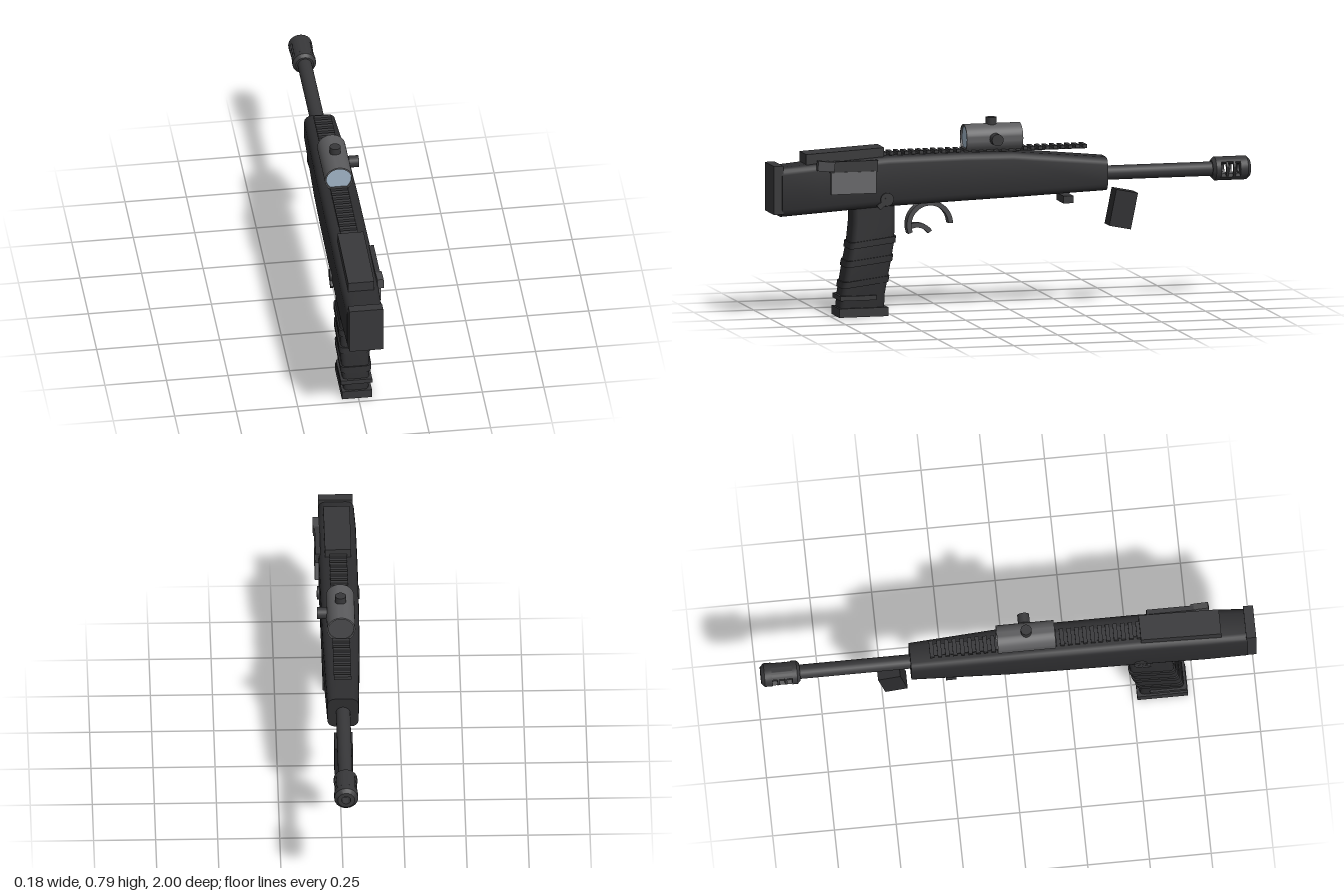
import * as THREE from 'three';
import { toCreasedNormals } from 'three/addons/utils/BufferGeometryUtils.js';

const mat = (color, side = THREE.FrontSide) => new THREE.MeshStandardMaterial({ color, side });
const BLACK = mat(0x2d2d2f), DARK = mat(0x38383a), STEEL = mat(0x4a4a4c);
const TUBE = mat(0x5c5c5e, THREE.DoubleSide), PORT = mat(0x666668), GLASS = mat(0x9fb2c4);

// Rounded rectangle outline, counterclockwise, centred on (cx, cy)
function roundRect(cx, cy, hw, hh, r, n = 4) {
  const pts = [];
  [[1, 1], [-1, 1], [-1, -1], [1, -1]].forEach(([sx, sy], q) => {
    for (let i = 0; i <= n; i++) {
      const a = (q + i / n) * Math.PI / 2;
      pts.push([cx + sx * (hw - r) + r * Math.cos(a), cy + sy * (hh - r) + r * Math.sin(a)]);
    }
  });
  return pts;
}

// Closed skin through rings of [x, y, z] points
function loft(rings) {
  const n = rings[0].length, pos = [];
  const tri = (a, b, c) => pos.push(...a, ...b, ...c);
  for (let k = 0; k < rings.length - 1; k++) {
    const A = rings[k], B = rings[k + 1];
    for (let i = 0; i < n; i++) {
      const j = (i + 1) % n;
      tri(A[i], A[j], B[j]);
      tri(A[i], B[j], B[i]);
    }
  }
  const first = rings[0], last = rings[rings.length - 1];
  for (let i = 1; i < n - 1; i++) {
    tri(first[0], first[i + 1], first[i]);
    tri(last[0], last[i], last[i + 1]);
  }
  const g = new THREE.BufferGeometry();
  g.setAttribute('position', new THREE.Float32BufferAttribute(pos, 3));
  return toCreasedNormals(g, 0.6);
}

// Annular sector outline
function arcShape(cx, cy, R, r, a0, a1) {
  const s = new THREE.Shape();
  s.absarc(cx, cy, R, a0, a1, false);
  s.absarc(cx, cy, r, a1, a0, true);
  s.closePath();
  return s;
}

export function createModel() {
  const root = new THREE.Group();
  root.name = 'rifle';
  const gun = new THREE.Group();
  gun.name = 'rifleParts';
  gun.position.x = -0.007;
  root.add(gun);

  const add = (name, geo, m, x = 0, y = 0, z = 0, parent = gun) => {
    const mesh = new THREE.Mesh(geo, m);
    mesh.name = name;
    mesh.position.set(x, y, z);
    parent.add(mesh);
    return mesh;
  };
  const box = (name, m, w, h, d, x, y, z) => add(name, new THREE.BoxGeometry(w, h, d), m, x, y, z);
  const cyl = (name, m, r, len, axis, x, y, z, n = 24) => {
    const g = new THREE.CylinderGeometry(r, r, len, n);
    if (axis === 'z') g.rotateX(Math.PI / 2);
    if (axis === 'x') g.rotateZ(Math.PI / 2);
    return add(name, g, m, x, y, z);
  };
  // Side outline (first coordinate is -z) given a width across x
  const sideCut = (name, shape, width, m, x = 0) => {
    const g = new THREE.ExtrudeGeometry(shape, { depth: width, bevelEnabled: false, curveSegments: 24 });
    g.translate(0, 0, -width / 2).rotateY(Math.PI / 2);
    return add(name, toCreasedNormals(g, 0.6), m, x);
  };

  // Body: [z, bottom, top, half width]
  const body = [[-0.395, 0.475, 0.61, 0.063], [0, 0.462, 0.648, 0.075], [0.2, 0.456, 0.652, 0.077],
    [0.52, 0.445, 0.65, 0.078], [0.8, 0.428, 0.632, 0.077], [0.965, 0.417, 0.618, 0.072]];
  add('body', loft(body.map(([z, b, t, hw]) =>
    roundRect(0, (b + t) / 2, hw, (t - b) / 2, 0.03).map(([x, y]) => [x, y, z]))), BLACK);
  box('buttPlate', DARK, 0.138, 0.197, 0.04, 0.002, 0.529, 0.98);

  // Raised cover at the rear
  sideCut('rearCover', new THREE.Shape([[-0.86, 0.61], [-0.535, 0.635], [-0.535, 0.685], [-0.86, 0.668]]
    .map(p => new THREE.Vector2(...p))), 0.106, DARK);

  // Bolt and port on the left side
  box('portCover', PORT, 0.022, 0.09, 0.187, 0.082, 0.551, 0.672);
  box('boltPlate', DARK, 0.02, 0.045, 0.2, 0.08, 0.617, 0.67);
  const catchArm = box('boltCatch', STEEL, 0.026, 0.04, 0.07, 0.084, 0.622, 0.787);
  catchArm.rotation.x = -0.1;

  // Selector pin with a small lever on each end
  cyl('selectorPin', DARK, 0.027, 0.17, 'x', 0, 0.477, 0.53);
  for (const s of [-1, 1]) {
    const lever = box('selectorLever', DARK, 0.012, 0.022, 0.055, s * 0.08, 0.462, 0.545);
    lever.rotation.x = 0.7;
  }

  // Barrel
  cyl('barrel', DARK, 0.029, 0.5, 'z', 0, 0.541, -0.62);

  // Muzzle brake: two bored collars joined by slotted shells
  const brake = new THREE.Group();
  brake.name = 'muzzleBrake';
  brake.position.set(0, 0.541, 0);
  gun.add(brake);
  const collar = (name, z0, z1, bevel0, bevel1) => {
    const p = [[0.018, z0], [0.048 - bevel0, z0], [0.048, z0 + bevel0], [0.048, z1 - bevel1],
      [0.048 - bevel1, z1], [0.018, z1], [0.018, z0]].map(q => new THREE.Vector2(...q));
    const g = new THREE.LatheGeometry(p, 28).rotateX(Math.PI / 2);
    add(name, toCreasedNormals(g, 0.5), DARK, 0, 0, 0, brake);
  };
  collar('rearCollar', -0.875, -0.842, 0, 0.012);
  collar('frontCollar', -1, -0.955, 0.014, 0);
  const ringPart = (name, R, r, a0, a1, z, len) => add(name, toCreasedNormals(
    new THREE.ExtrudeGeometry(arcShape(0, 0, R, r, a0, a1),
      { depth: len, bevelEnabled: false, curveSegments: 14 }), 0.5), DARK, 0, 0, z, brake);
  for (const s of [0, Math.PI]) {
    ringPart('brakeShell', 0.048, 0.03, s + 0.7, s + Math.PI - 0.7, -0.957, 0.084);
    for (const z of [-0.935, -0.905])
      ringPart('brakeRib', 0.046, 0.03, s - 0.75, s + 0.75, z, 0.009);
  }

  // Sight rail
  box('railBase', DARK, 0.05, 0.006, 0.845, 0, 0.65, 0.108);
  for (let z = -0.308; z < 0.53; z += 0.031)
    box('railTooth', DARK, 0.07, 0.014, 0.017, 0, 0.657, z);

  // Optic: tube, lenses and two adjusting knobs
  const tube = [[0.051, -0.117], [0.057, -0.117], [0.057, 0.117], [0.051, 0.117], [0.051, -0.117]]
    .map(p => new THREE.Vector2(...p));
  add('scopeTube', toCreasedNormals(new THREE.LatheGeometry(tube, 40).rotateX(Math.PI / 2), 0.5),
    TUBE, 0, 0.703, 0.073);
  cyl('rearLens', GLASS, 0.051, 0.008, 'z', 0, 0.703, 0.178, 40);
  cyl('frontLens', STEEL, 0.051, 0.008, 'z', 0, 0.703, -0.034, 40);
  box('scopeMount', DARK, 0.06, 0.02, 0.18, 0, 0.653, 0.073);
  cyl('topKnob', DARK, 0.022, 0.035, 'y', 0, 0.768, 0.075);
  cyl('sideKnob', DARK, 0.024, 0.04, 'x', 0.075, 0.703, 0.072);

  // Pistol grip: [y, front z, back z, half width]
  const grip = [[0.02, 0.53, 0.718, 0.05], [0.09, 0.528, 0.71, 0.055], [0.2, 0.508, 0.69, 0.059],
    [0.3, 0.49, 0.67, 0.059], [0.38, 0.487, 0.663, 0.055], [0.47, 0.487, 0.663, 0.052]];
  const gripAt = y => {
    const k = Math.max(1, grip.findIndex(s => s[0] >= y));
    const a = grip[k - 1], b = grip[k], t = (y - a[0]) / (b[0] - a[0]);
    return a.map((v, i) => v + (b[i] - v) * t);
  };
  const gripRing = ([y, f, b, hw], grow = 0, tilt = 0) =>
    roundRect(0, -(f + b) / 2, hw + grow, (b - f) / 2 + grow, 0.02, 3)
      .map(([x, v]) => [x, y + tilt * (v + (f + b) / 2), -v]);
  add('grip', loft(grip.map(s => gripRing(s))), BLACK);
  box('gripBase', DARK, 0.122, 0.036, 0.205, 0.001, 0.018, 0.622);
  for (const y of [0.14, 0.225, 0.3])
    add('gripRidge', loft([y - 0.013, y + 0.013].map(v => gripRing(gripAt(v), 0.006, 0.12))), BLACK);
  box('gripRib', DARK, 0.128, 0.019, 0.15, 0, 0.077, 0.645);

  // Guard and trigger
  sideCut('triggerGuard', arcShape(-0.335, 0.36, 0.096, 0.077, 0.03, 3.52), 0.04, STEEL);
  sideCut('trigger', arcShape(-0.388, 0.291, 0.077, 0.057, 0.6, 1.95), 0.025, STEEL);

  // Fittings under the fore end
  box('slingBar', DARK, 0.11, 0.03, 0.042, 0, 0.445, -0.233);
  const block = box('foreBlock', BLACK, 0.074, 0.15, 0.092, 0, 0.394, -0.468);
  block.rotation.x = -0.2;

  return root;
}
